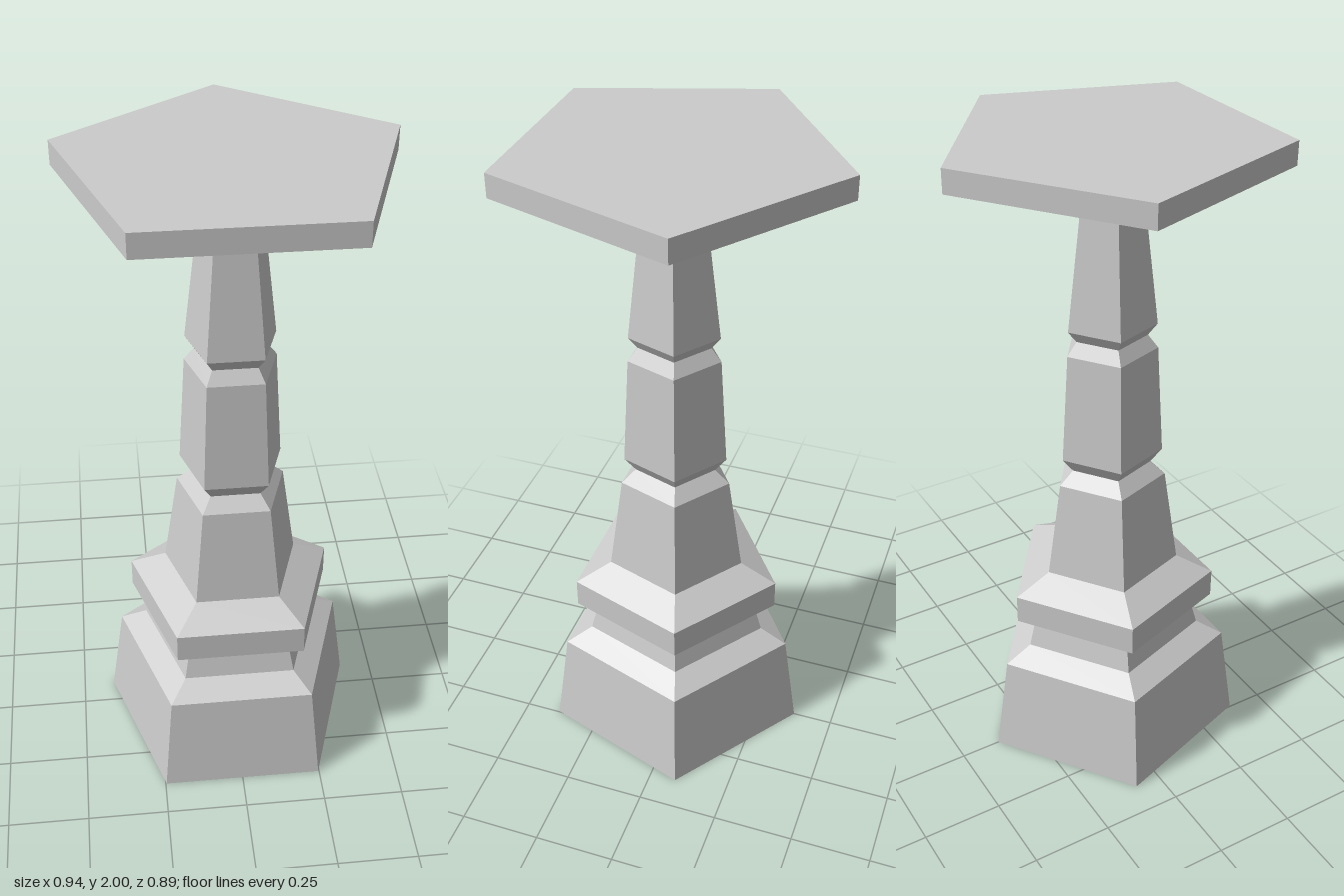
import * as THREE from 'three';

const SIDES = 5;
const AXIS_Z = 0.047; // a pentagon's centre sits forward of its bounding box centre
const TO_RADIUS = 1 / Math.sin(THREE.MathUtils.degToRad(72)); // half width -> corner radius

// Each part is a five-sided turning, as [half width, height] from bottom to top
const PARTS = {
  plinth: [[0, 0], [0.4, 0], [0.357, 0.32], [0.276, 0.365], [0.25, 0.462]],
  collar: [[0.25, 0.462], [0.315, 0.48], [0.315, 0.573], [0.206, 0.628]],
  lowerShaft: [[0.206, 0.628], [0.163, 0.937], [0.12, 0.978]],
  middleShaft: [[0.12, 0.978], [0.153, 1.025], [0.134, 1.37], [0.105, 1.41]],
  upperShaft: [[0.105, 1.41], [0.131, 1.447], [0.093, 1.788]],
  capital: [[0.093, 1.788], [0.131, 1.82], [0.166, 1.893], [0.166, 1.93]],
  topSlab: [[0, 1.93], [0.47, 1.93], [0.47, 2], [0, 2]],
};

export function createModel() {
  const group = new THREE.Group();
  group.name = 'pedestal';
  const material = new THREE.MeshStandardMaterial({ color: 0xcccccc, flatShading: true });

  for (const [name, profile] of Object.entries(PARTS)) {
    const points = profile.map(([w, y]) => new THREE.Vector2(w * TO_RADIUS, y));
    // Start at the back so one corner points to -z and a flat side faces front
    const mesh = new THREE.Mesh(new THREE.LatheGeometry(points, SIDES, Math.PI), material);
    mesh.name = name;
    mesh.position.z = AXIS_Z;
    group.add(mesh);
  }
  return group;
}
